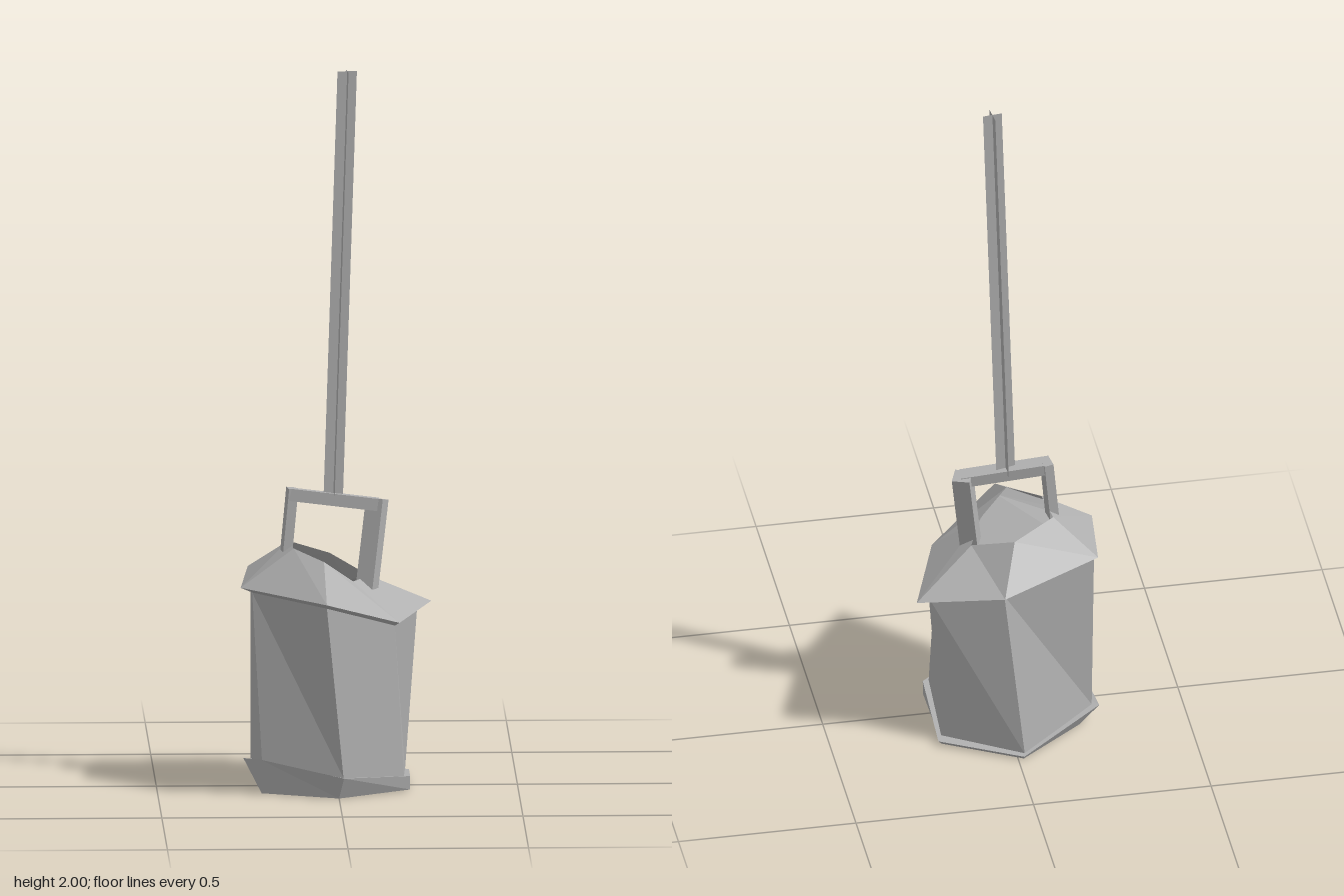
import * as THREE from 'three';

const V = (p) => new THREE.Vector3(...p);

// Skin between closed rings of points (listed bottom to top), optionally capped
function loft(rings, capped) {
  const pos = [];
  const tri = (a, b, c) => pos.push(...a, ...b, ...c);
  for (let r = 0; r < rings.length - 1; r++) {
    const lo = rings[r], up = rings[r + 1], n = lo.length;
    for (let i = 0; i < n; i++) {
      const j = (i + 1) % n;
      tri(lo[i], lo[j], up[i]);
      tri(lo[j], up[j], up[i]);
    }
  }
  const first = rings[0], last = rings[rings.length - 1];
  for (let i = 1; capped && i < first.length - 1; i++) {
    tri(first[0], first[i + 1], first[i]);
    tri(last[0], last[i], last[i + 1]);
  }
  const g = new THREE.BufferGeometry();
  g.setAttribute('position', new THREE.Float32BufferAttribute(pos, 3));
  g.computeVertexNormals();
  return g;
}

// Straight bar of rectangular section between two points
function beam(a, b, w, d, twist) {
  const from = V(a), to = V(b), dir = to.clone().sub(from);
  const g = new THREE.BoxGeometry(w, dir.length(), d);
  g.rotateY(twist);
  g.applyQuaternion(new THREE.Quaternion().setFromUnitVectors(new THREE.Vector3(0, 1, 0), dir.normalize()));
  const m = from.add(to).multiplyScalar(0.5);
  return g.translate(m.x, m.y, m.z);
}

// Flat strip between two points, half its width given by a vector
function strip(a, b, half) {
  const A = V(a), B = V(b), H = V(half);
  const c = [A.clone().sub(H), A.clone().add(H), B.clone().add(H), B.clone().sub(H)];
  const g = new THREE.BufferGeometry().setFromPoints([c[0], c[1], c[2], c[0], c[2], c[3]]);
  g.computeVertexNormals();
  return g;
}

export function createModel() {
  const model = new THREE.Group();
  model.name = 'hangingLantern';
  const grey = new THREE.MeshStandardMaterial({ color: 0xb0b0b0, side: THREE.DoubleSide });
  grey.name = 'grey metal';
  grey.flatShading = true;
  const add = (name, geometry, parent = model) => {
    const mesh = new THREE.Mesh(geometry, grey);
    mesh.name = name;
    parent.add(mesh);
  };

  // Rings run front, left front, left back, back, right back, right front
  // Flared foot
  add('base', loft([
    [[0, 0, 0.21], [0.2, 0.003, 0.09], [0.195, 0.003, -0.16], [-0.016, 0, -0.27], [-0.2, 0, -0.13], [-0.212, 0, 0.12]],
    [[0.013, 0.06, 0.233], [0.2, 0.042, 0.098], [0.205, 0.015, -0.165], [-0.016, 0.01, -0.277], [-0.255, 0.055, -0.127], [-0.214, 0.095, 0.125]],
  ], true));

  // Six-sided housing, slightly narrower at the foot
  const bodyTop = [[-0.035, 0.54, 0.243], [0.157, 0.468, 0.112], [0.227, 0.478, -0.14], [0.03, 0.515, -0.222], [-0.235, 0.572, -0.155], [-0.236, 0.552, 0.05]];
  add('body', loft([
    [[0.012, 0.058, 0.217], [0.183, 0.04, 0.1], [0.193, 0.015, -0.14], [-0.02, 0.01, -0.262], [-0.235, 0.055, -0.12], [-0.211, 0.092, 0.12]],
    bodyTop,
  ], true));

  // Leaning roof with a closed eave, open at the top
  add('roof', loft([
    bodyTop,
    [[-0.036, 0.555, 0.275], [0.17, 0.477, 0.121], [0.267, 0.487, -0.17], [0.035, 0.53, -0.262], [-0.241, 0.585, -0.184], [-0.268, 0.566, 0.053]],
    [[-0.039, 0.648, 0.114], [0.043, 0.585, 0.069], [0.091, 0.58, -0.052], [-0.016, 0.63, -0.132], [-0.132, 0.672, -0.091], [-0.12, 0.67, 0.021]],
  ], false));

  // Carrying handle
  const handle = new THREE.Group();
  handle.name = 'handle';
  model.add(handle);
  add('leftPost', beam([0.083, 0.553, 0.005], [0.113, 0.8, -0.032], 0.05, 0.047, -0.39), handle);
  add('rightPost', beam([-0.14, 0.64, -0.035], [-0.122, 0.828, -0.043], 0.026, 0.045, 0.15), handle);
  add('crossBar', beam([-0.13, 0.812, -0.04], [0.115, 0.785, -0.022], 0.034, 0.042, -0.16), handle);

  // Long chain made of two crossed strips
  const chain = new THREE.Group();
  chain.name = 'chain';
  model.add(chain);
  const foot = [-0.009, 0.8, -0.035], top = [0.03, 2, -0.042];
  add('wideStrip', strip(foot, top, [0.027, 0, -0.003]), chain);
  add('deepStrip', strip(foot, top, [0.003, 0, 0.028]), chain);

  return model;
}
